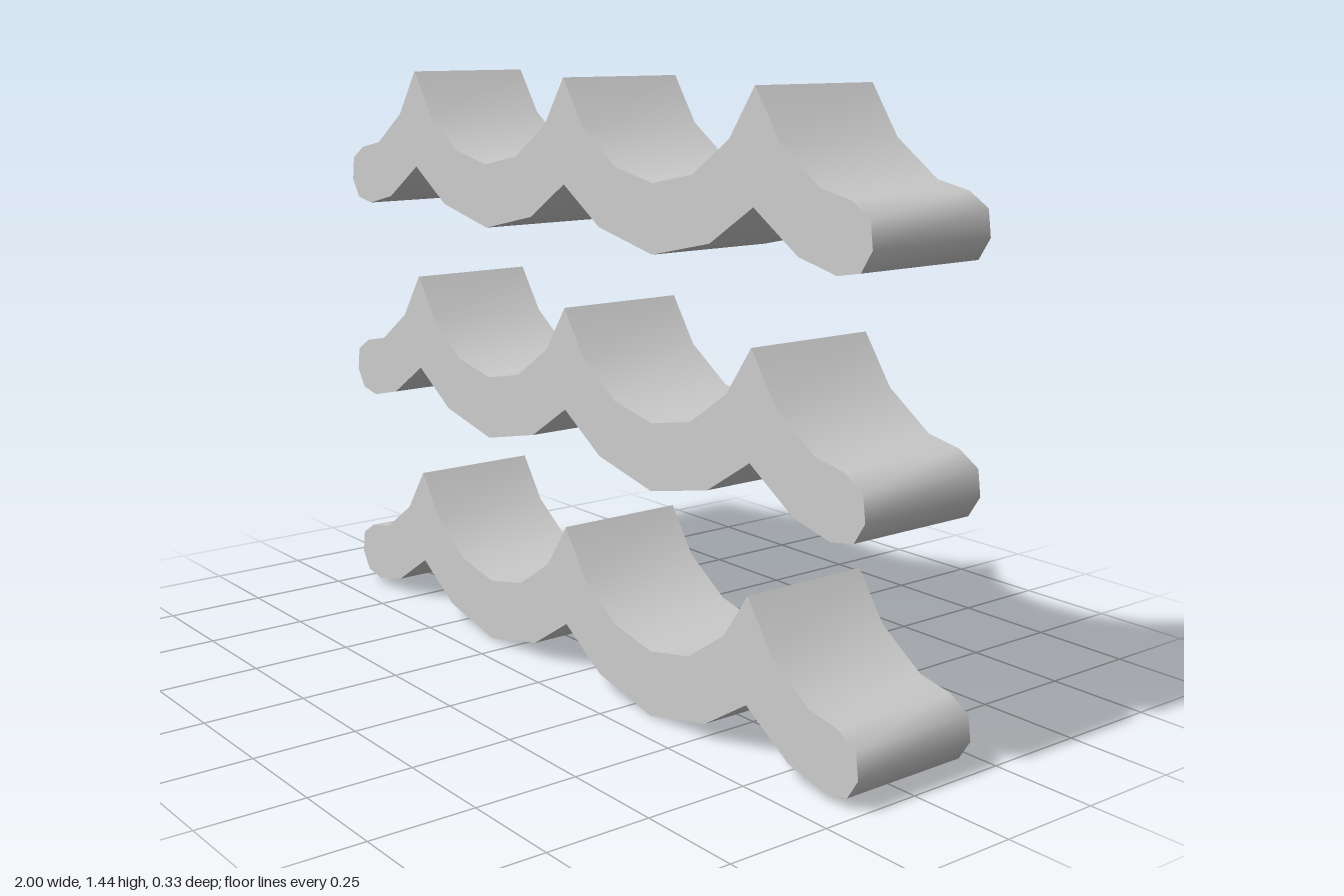
import * as THREE from 'three';
import { toCreasedNormals } from 'three/addons/utils/BufferGeometryUtils.js';

const DEPTH = 0.33;
const SPACING = 0.533;

// Right half of the wavy slab outline: along the top from the middle crest,
// around the rounded tip, and back along the underside.
const HALF = [
  [0, 0.378], [0.075, 0.268], [0.197, 0.187], [0.33, 0.16], [0.465, 0.187], [0.583, 0.268],
  [0.66, 0.378], [0.737, 0.267], [0.853, 0.187], [0.94, 0.17], [0.992, 0.138],
  [1, 0.08], [0.97, 0.033], [0.905, 0.021], [0.795, 0.047],
  [0.66, 0.134], [0.524, 0.047], [0.33, 0.004], [0.136, 0.047], [0, 0.134],
];

function createWaveGeometry() {
  // Mirror the inner points to close the outline
  const mirrored = HALF.slice(1, -1).reverse().map(([x, y]) => [-x, y]);
  const outline = [...HALF, ...mirrored].map(([x, y]) => new THREE.Vector2(x, y));
  const geometry = new THREE.ExtrudeGeometry(new THREE.Shape(outline), {
    depth: DEPTH,
    bevelEnabled: false,
  });
  geometry.translate(0, 0, -DEPTH / 2);
  // Smooth scallops, sharp crests and rims
  return toCreasedNormals(geometry, THREE.MathUtils.degToRad(60));
}

export function createModel() {
  const model = new THREE.Group();
  model.name = 'stackedWaves';
  const material = new THREE.MeshStandardMaterial({ color: 0xcccccc });
  const geometry = createWaveGeometry();

  // Three identical waves, one above another
  ['lowerWave', 'middleWave', 'upperWave'].forEach((name, i) => {
    const wave = new THREE.Mesh(geometry, material);
    wave.name = name;
    wave.position.y = i * SPACING - 0.004;
    model.add(wave);
  });
  return model;
}
